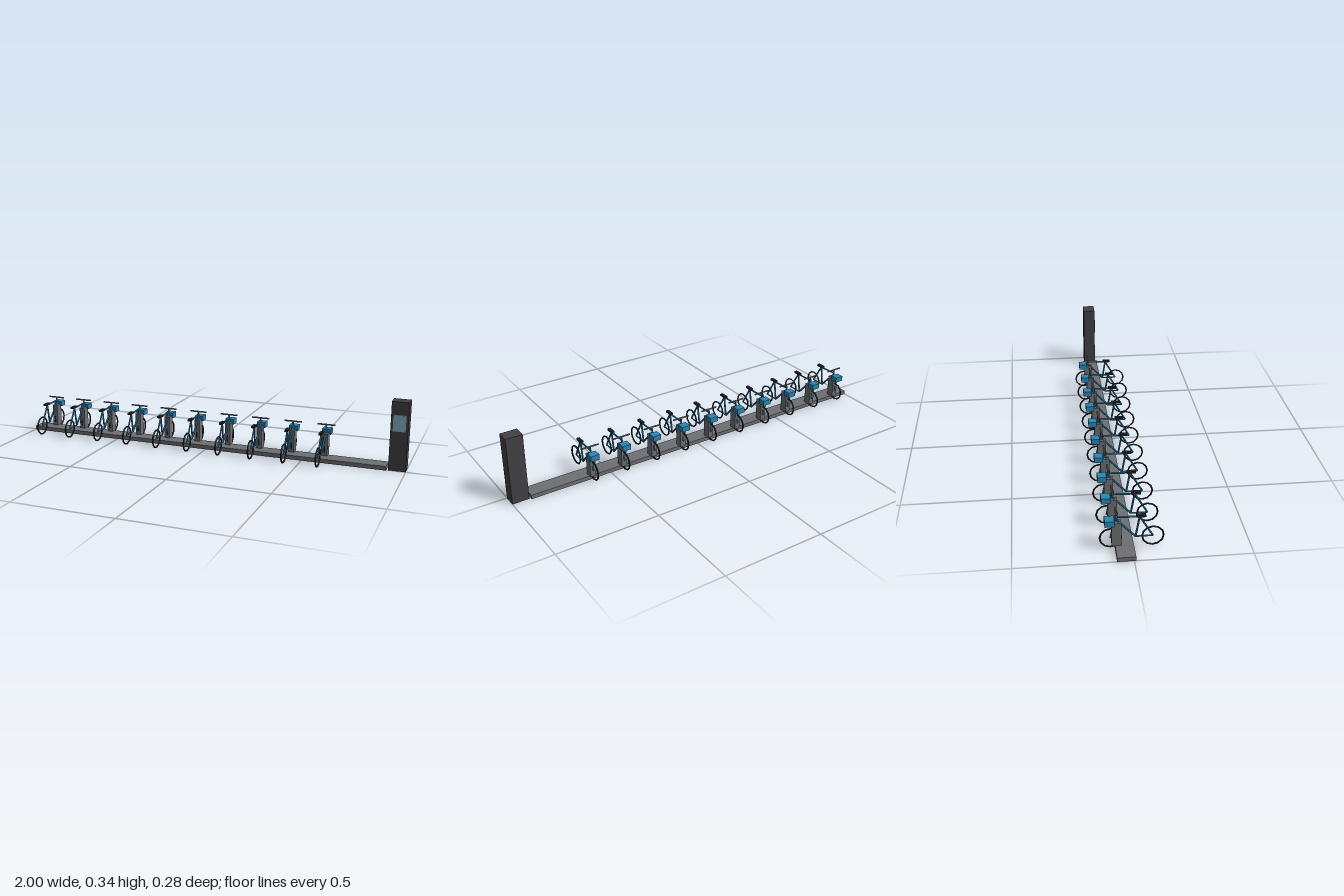
import * as THREE from 'three';

const mat = (name, color) => {
  const m = new THREE.MeshStandardMaterial({ color });
  m.name = name;
  return m;
};

export function createModel() {
  const grey = mat('dock grey', 0x6f7074);
  const charcoal = mat('kiosk charcoal', 0x424246);
  const blue = mat('bike blue', 0x2a86b6);
  const black = mat('rubber black', 0x212121);
  const glass = mat('screen blue', 0x8ab8cc);
  for (const m of [grey, black, blue]) m.flatShading = true;

  const add = (parent, name, geometry, material, x = 0, y = 0, z = 0) => {
    const mesh = new THREE.Mesh(geometry, material);
    mesh.name = name;
    mesh.position.set(x, y, z);
    parent.add(mesh);
    return mesh;
  };
  const box = (parent, name, material, [x0, x1], [y0, y1], [z0, z1]) =>
    add(parent, name, new THREE.BoxGeometry(x1 - x0, y1 - y0, z1 - z0), material,
      (x0 + x1) / 2, (y0 + y1) / 2, (z0 + z1) / 2);

  // Straight tube between two [y, z] points in the plane of the bike
  const tube = (parent, name, a, b, r) => {
    const p = new THREE.Vector3(0, ...a), q = new THREE.Vector3(0, ...b);
    const dir = q.clone().sub(p);
    const mesh = add(parent, name, new THREE.CylinderGeometry(r, r, dir.length(), 8), blue);
    mesh.position.copy(p).add(q).multiplyScalar(0.5);
    mesh.quaternion.setFromUnitVectors(new THREE.Vector3(0, 1, 0), dir.normalize());
  };

  const makeBike = () => {
    const bike = new THREE.Group();
    bike.name = 'bike';
    const rear = [0.053, 0.089], front = [0.053, -0.089];
    const seat = [0.152, 0.032], crank = [0.053, 0.016], head = [0.155, -0.069];

    // Wheels
    for (const [name, [y, z]] of [['rearWheel', rear], ['frontWheel', front]]) {
      const wheel = add(bike, name, new THREE.TorusGeometry(0.0455, 0.004, 6, 12), black, 0, y, z);
      wheel.rotation.y = Math.PI / 2;
    }

    // Frame
    tube(bike, 'seatStay', rear, seat, 0.0042);
    tube(bike, 'chainStay', rear, crank, 0.0035);
    tube(bike, 'seatTube', crank, seat, 0.0045);
    tube(bike, 'downTube', crank, [0.145, -0.068], 0.0048);
    tube(bike, 'topTube', seat, head, 0.0042);
    tube(bike, 'fork', [0.165, -0.067], front, 0.0042);
    tube(bike, 'stem', [0.155, -0.068], [0.173, -0.066], 0.0042);

    // Saddle, handlebar and front carrier
    box(bike, 'saddle', black, [-0.008, 0.008], [0.152, 0.162], [0.017, 0.058]);
    const bar = add(bike, 'handlebar', new THREE.CylinderGeometry(0.004, 0.004, 0.088, 8), grey,
      0, 0.173, -0.067);
    bar.rotation.z = Math.PI / 2;
    box(bike, 'frontCarrier', blue, [-0.022, 0.022], [0.121, 0.148], [-0.115, -0.075]);
    return bike;
  };

  const group = new THREE.Group();
  group.name = 'bikeDockingStation';

  // Base rail: a hollow tray, open underneath
  const rail = new THREE.Group();
  rail.name = 'baseRail';
  group.add(rail);
  box(rail, 'railTop', grey, [-1, 0.91], [0.012, 0.02], [-0.071, 0.008]);
  for (const [z0, z1] of [[-0.071, -0.065], [0.002, 0.008]])
    box(rail, 'railSide', grey, [-1, 0.91], [0, 0.012], [z0, z1]);
  for (const [x0, x1] of [[-1, -0.994], [0.904, 0.91]])
    box(rail, 'railEnd', grey, [x0, x1], [0, 0.012], [-0.065, 0.002]);

  // Ten bikes, each at its own dock post
  for (let i = 0; i < 10; i++) {
    const x = -0.905 + i * 0.1673;
    box(group, 'dockPost', grey, [x - 0.014, x + 0.014], [0.02, 0.132], [-0.085, -0.045]);
    const bike = makeBike();
    bike.position.x = x;
    group.add(bike);
  }

  // Payment kiosk
  box(group, 'kiosk', charcoal, [0.918, 1], [0, 0.335], [-0.063, 0]);
  box(group, 'kioskScreen', glass, [0.929, 0.989], [0.193, 0.272], [-0.002, 0.003]);
  return group;
}
